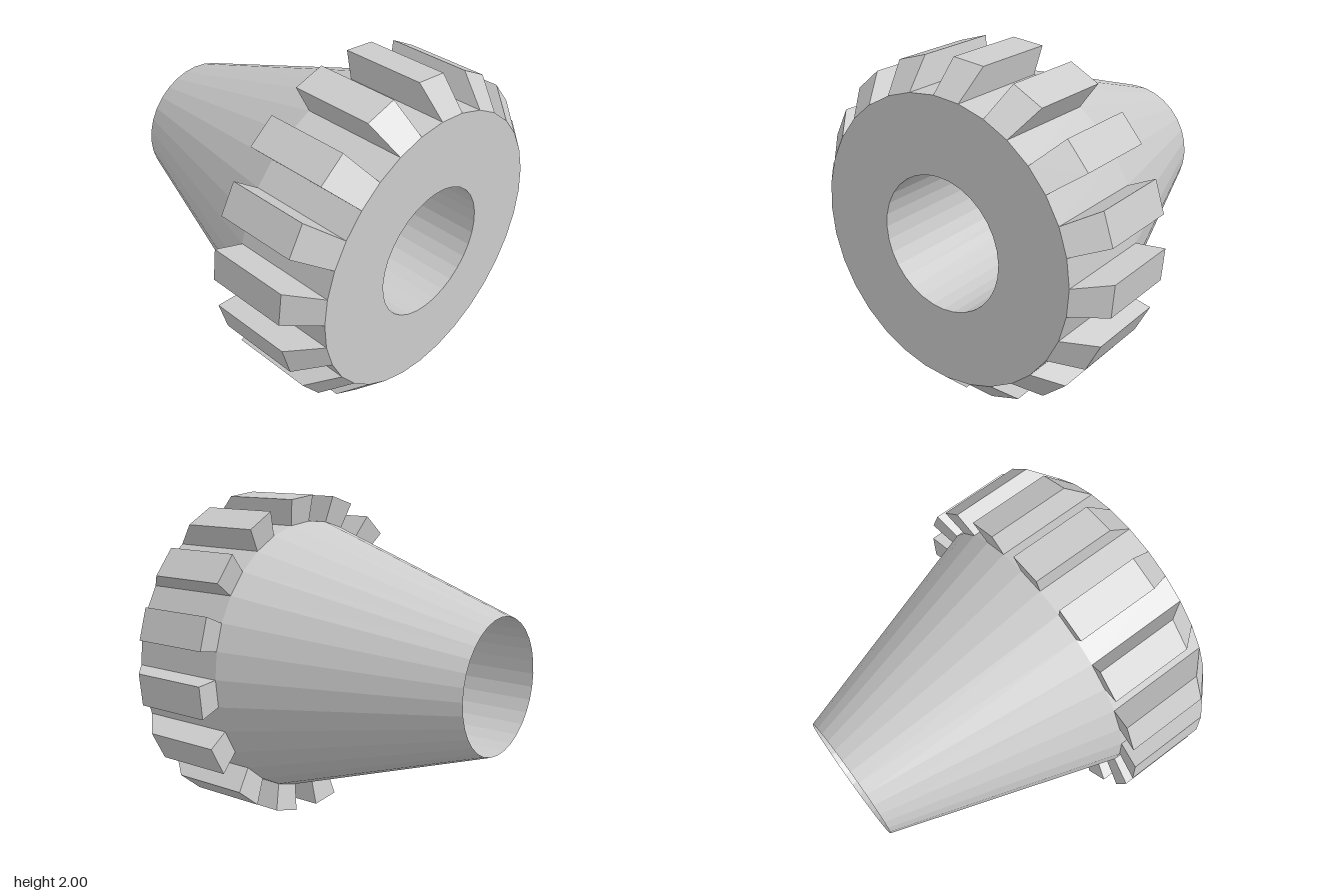
import * as THREE from 'three';
import { ConvexGeometry } from 'three/addons/geometries/ConvexGeometry.js';

const SIDES = 32;
const STEP = (Math.PI * 2) / SIDES;
const BORE = 0.395, RIM = 0.838, TIP = 1;

// Tooth outline as [axial x, radius]: undercut rear end, flat top, bevelled nose
const TOOTH = [[0.365, RIM], [0.33, TIP], [0.83, TIP], [0.995, RIM]];

export function createModel() {
  const model = new THREE.Group();
  model.name = 'toothedConeSleeve';
  const material = new THREE.MeshStandardMaterial({ color: 0xcccccc, flatShading: true });

  // Hollow body: cone, cylindrical collar, end face and straight bore
  const profile = [
    [BORE, -0.997], [RIM, 0.365], [RIM, 0.995], [BORE, 0.995], [BORE, -0.997],
  ].map(([r, x]) => new THREE.Vector2(r, x));
  const bodyGeometry = new THREE.LatheGeometry(profile, SIDES);
  bodyGeometry.rotateZ(-Math.PI / 2);
  const body = new THREE.Mesh(bodyGeometry, material);
  body.name = 'taperedBody';
  model.add(body);

  // One tooth covers one facet of the collar, with radial flanks
  const corners = [0, STEP].flatMap((a) =>
    TOOTH.map(([x, r]) => new THREE.Vector3(x, r * Math.cos(a), -r * Math.sin(a))));
  const toothGeometry = new ConvexGeometry(corners);

  // Teeth on every second facet
  const teeth = new THREE.Group();
  teeth.name = 'teeth';
  for (let i = 0; i < SIDES / 2; i++) {
    const tooth = new THREE.Mesh(toothGeometry, material);
    tooth.name = `tooth${i + 1}`;
    tooth.rotation.x = i * 2 * STEP;
    teeth.add(tooth);
  }
  model.add(teeth);

  model.position.y = 1;
  return model;
}
